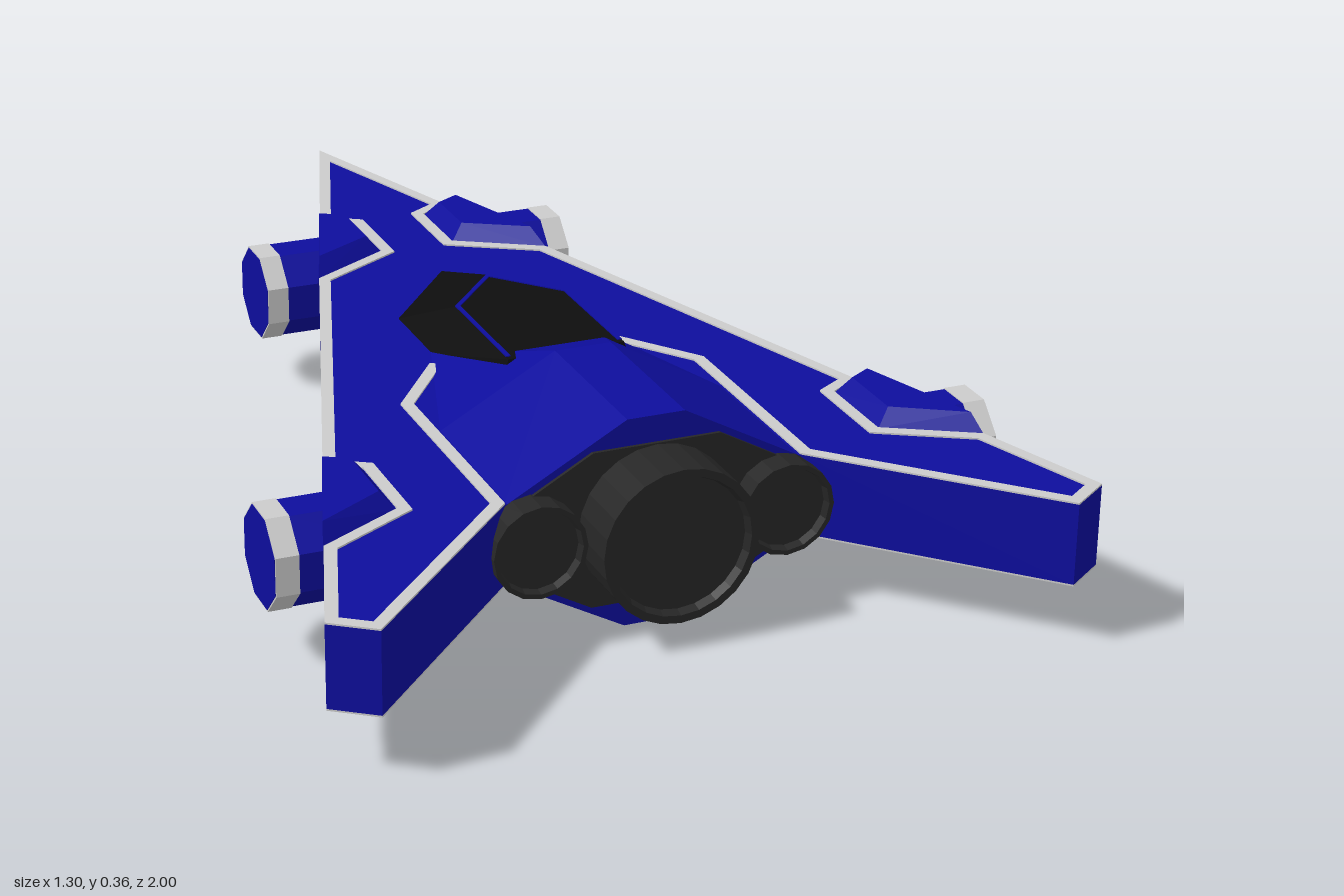
import * as THREE from 'three';
import { ConvexGeometry } from 'three/addons/geometries/ConvexGeometry.js';

const MID = 0.185; // height of the symmetry plane between upper and lower halves
const WING = 0.07; // half thickness of the wing

const mat = (color) => new THREE.MeshStandardMaterial({ color, flatShading: true });

export function createModel() {
  const model = new THREE.Group();
  model.name = 'spacecraft';
  const blue = mat(0x0d0d9c), black = mat(0x0d0d0d), dark = mat(0x262626), grey = mat(0xcccccc);

  const add = (name, geometry, material) => {
    const mesh = new THREE.Mesh(geometry, material);
    mesh.name = name;
    model.add(mesh);
    return mesh;
  };

  // Convex solid from [x, height above mid plane, z] points
  const solid = (name, pts, material) =>
    add(name, new ConvexGeometry(pts.map(([x, h, z]) => new THREE.Vector3(x, MID + h, z))), material);
  const mirrorX = (pts) => pts.concat(pts.map(([x, h, z]) => [-x, h, z]));
  const mirrorY = (pts) => pts.concat(pts.map(([x, h, z]) => [x, -h, z]));

  // Flat plan-view plate from [x, z] points
  const plate = (name, pts, bottom, height, material) => {
    const shape = new THREE.Shape(pts.map(([x, z]) => new THREE.Vector2(x, -z)));
    const g = new THREE.ExtrudeGeometry(shape, { depth: height, bevelEnabled: false });
    g.rotateX(-Math.PI / 2);
    g.translate(0, MID + bottom, 0);
    return add(name, g, material);
  };

  // Closes a right-hand path into one symmetric path that passes through the nose
  const symmetric = (pts) => [...pts.slice(1).reverse().map(([x, z]) => [-x, z]), ...pts];

  // Offsets a path sideways with mitred corners
  const offset = (pts, w) => pts.map((p, i) => {
    const normal = (a, b) => new THREE.Vector2(-(b[1] - a[1]), b[0] - a[0]).normalize();
    const n0 = i > 0 ? normal(pts[i - 1], p) : normal(p, pts[1]);
    const n1 = i < pts.length - 1 ? normal(p, pts[i + 1]) : n0;
    const m = n0.clone().add(n1);
    m.multiplyScalar((2 * w) / m.lengthSq());
    return [p[0] + m.x, p[1] + m.y];
  });

  // Wing slab
  const wing = [[0, -1], [0.65, 0.95], [0.58, 1], [0.257, 0.67]];
  plate('wing', symmetric(wing), -WING, 2 * WING, blue);

  // Grey trim lines, above and below
  const trim = symmetric([
    [0, -1], [0.127, -0.62], [0.07, -0.585], [0.07, -0.43], [0.223, -0.34],
    [0.477, 0.43], [0.42, 0.465], [0.42, 0.625], [0.57, 0.71], [0.65, 0.95],
    [0.58, 1], [0.257, 0.67], [0.257, 0.255], [0.155, 0.115],
  ]);
  const ribbon = [...trim, ...offset(trim, 0.021).reverse()];
  plate('upperTrim', ribbon, WING, 0.003, grey);
  plate('lowerTrim', ribbon, -WING - 0.003, 0.003, grey);

  // Raised engine hull
  solid('hull', mirrorY(mirrorX([
    [0.05, 0.182, 0.67], [0.26, 0.066, 0.67],
    [0.05, 0.182, 0.37], [0.26, 0.066, 0.37], [0.155, 0.066, 0.04],
  ])), blue);

  // Faceted canopies with thin frames, above and below
  for (const s of [1, -1]) {
    const side = s > 0 ? 'upper' : 'lower';
    solid(side + 'Canopy', mirrorX([
      [0, 0.066, -0.31], [0.154, 0.066, -0.12], [0.154, 0.066, 0.05], [0.13, 0.066, 0.31],
      [0, 0.147, -0.07], [0.105, 0.147, 0.05], [0.105, 0.147, 0.3],
    ]).map(([x, h, z]) => [x, s * h, z]), black);
    const frame = symmetric([[0, -0.07], [0.105, 0.05], [0.105, 0.29]]);
    plate(side + 'CanopyFrame', [...frame, ...offset(frame, 0.008).reverse()],
      s > 0 ? 0.146 : -0.149, 0.003, blue);
  }

  // Side thrusters: bevelled mount, barrel and grey end band
  const thrusters = [
    {
      name: 'front', z: -0.49, from: 0.1, to: 0.3,
      base: [[0.128, -0.62], [0.071, -0.585], [0.071, -0.43], [0.224, -0.34]],
      top: [[0.138, -0.59], [0.095, -0.565], [0.095, -0.445], [0.208, -0.38]],
    },
    {
      name: 'rear', z: 0.57, from: 0.45, to: 0.63,
      base: [[0.478, 0.43], [0.421, 0.465], [0.421, 0.625], [0.571, 0.71]],
      top: [[0.486, 0.455], [0.445, 0.48], [0.445, 0.61], [0.561, 0.68]],
    },
  ];
  for (const t of thrusters) for (const s of [1, -1]) {
    const side = t.name + (s > 0 ? 'Left' : 'Right');
    solid(side + 'ThrusterMount', mirrorY([
      ...t.base.map(([x, z]) => [s * x, WING, z]),
      ...t.top.map(([x, z]) => [s * x, 0.1, z]),
    ]), blue);
    const barrel = (name, r, a, b, material) => {
      const g = new THREE.CylinderGeometry(r, r, b - a, 8);
      g.rotateY(Math.PI / 8);
      g.rotateZ(Math.PI / 2);
      g.translate(s * (a + b) / 2, MID, t.z);
      add(side + name, g, material);
    };
    barrel('ThrusterBarrel', 0.085, t.from, t.to - 0.04, blue);
    barrel('ThrusterBand', 0.087, t.to - 0.04, t.to - 0.001, grey);
    barrel('ThrusterCap', 0.084, t.to - 0.002, t.to, blue);
  }

  // Dark engine bulkhead on the back of the hull
  solid('engineBulkhead', mirrorY(mirrorX([
    [0.11, 0.136, 0.66], [0.255, 0.055, 0.66], [0.11, 0.136, 0.676], [0.255, 0.055, 0.676],
  ])), dark);

  // Main and side engine nozzles with recessed faces
  const nozzle = (name, x, r, end, sides) => {
    const length = end - 0.62, rim = r * 0.9, inner = r * 0.86;
    const profile = [[r, 0], [r, length], [rim, length], [inner, length - 0.015], [0, length - 0.015]];
    const g = new THREE.LatheGeometry(profile.map(([a, b]) => new THREE.Vector2(a, b)), sides);
    g.rotateX(Math.PI / 2);
    g.translate(x, MID, 0.62);
    add(name, g, dark);
  };
  nozzle('mainEngine', 0, 0.134, 0.78, 24);
  nozzle('leftEngine', 0.215, 0.08, 0.72, 16);
  nozzle('rightEngine', -0.215, 0.08, 0.72, 16);

  return model;
}
